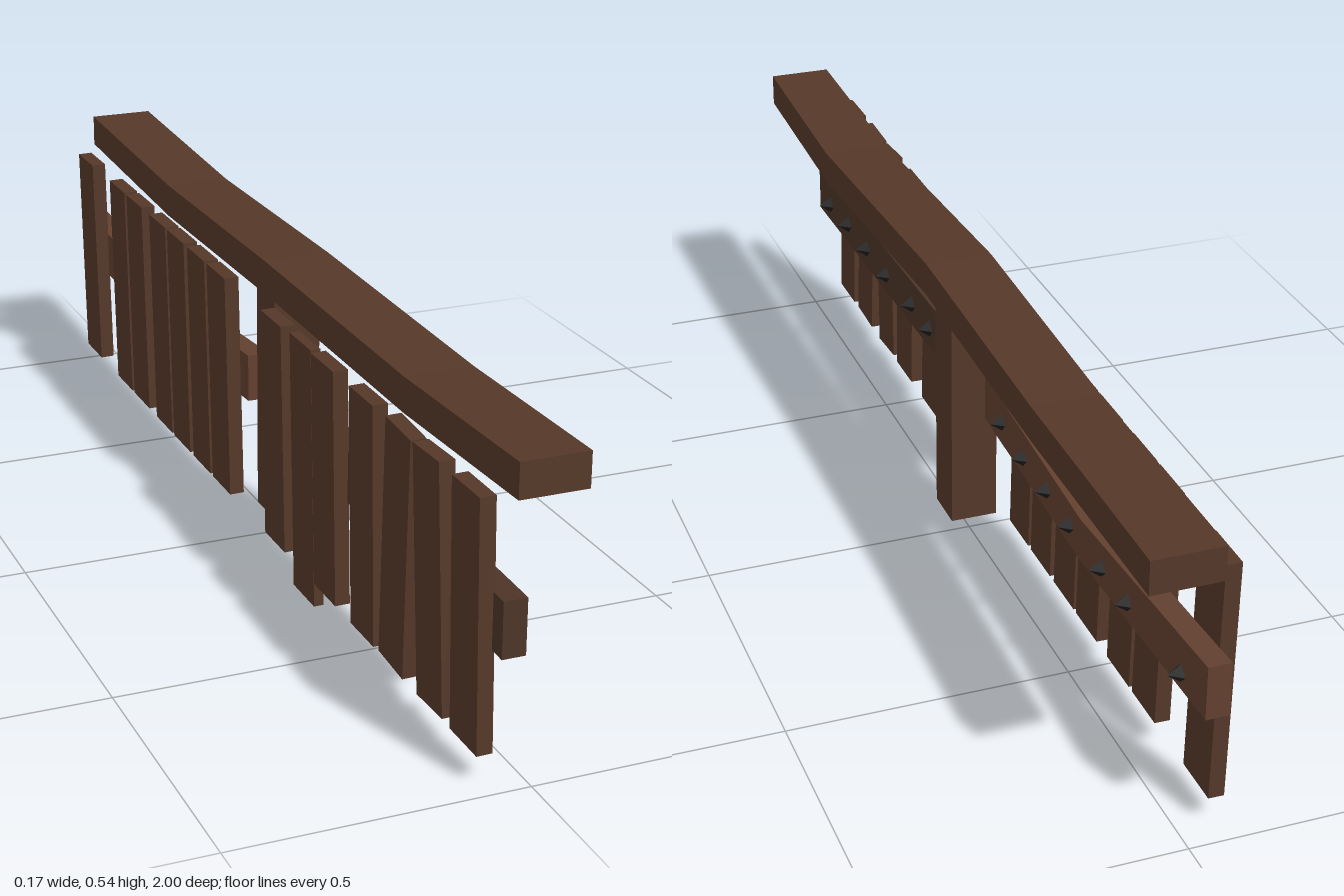
import * as THREE from 'three';

const mat = (color) => new THREE.MeshStandardMaterial({ color, flatShading: true });
const wood = mat(0x553829);
const lightWood = mat(0x63402f);
const darkWood = mat(0x4d3527);
const iron = mat(0x1f1f1f);

function add(group, name, geometry, material, x = 0, y = 0, z = 0) {
  const mesh = new THREE.Mesh(geometry, material);
  mesh.name = name;
  mesh.position.set(x, y, z);
  group.add(mesh);
  return mesh;
}

// Bent beam along z: each section is [z, x0, x1, y0, y1], listed from +z to -z
function beam(sections) {
  const g = new THREE.BoxGeometry(1, 1, 1, 1, 1, sections.length - 1);
  const p = g.attributes.position;
  for (let i = 0; i < p.count; i++) {
    const s = sections[Math.round((0.5 - p.getZ(i)) * (sections.length - 1))];
    p.setXYZ(i, p.getX(i) < 0 ? s[1] : s[2], p.getY(i) < 0 ? s[3] : s[4], s[0]);
  }
  g.computeVertexNormals();
  return g;
}

export function createModel() {
  const fence = new THREE.Group();
  fence.name = 'fence';

  // Wavy top rail
  add(fence, 'topRail', beam([
    [1, -0.04, 0.077, 0.478, 0.538],
    [0.6, -0.04, 0.082, 0.464, 0.525],
    [0.03, -0.052, 0.07, 0.48, 0.541],
    [-0.5, -0.045, 0.075, 0.468, 0.53],
    [-1, -0.037, 0.085, 0.481, 0.541],
  ]), wood);

  // Centre post
  add(fence, 'post', new THREE.BoxGeometry(0.086, 0.437, 0.086), wood, 0.005, 0.264, 0.002);

  // Cross rails on either side of the post
  add(fence, 'frontCrossRail', beam([
    [1, -0.058, -0.018, 0.225, 0.32],
    [0.04, -0.056, -0.016, 0.247, 0.34],
  ]), darkWood);
  add(fence, 'backCrossRail', beam([
    [-0.04, -0.056, -0.016, 0.25, 0.338],
    [-0.5, -0.056, -0.016, 0.222, 0.3],
    [-1, -0.056, -0.016, 0.238, 0.333],
  ]), lightWood);

  // Planks with a nail each: [z, nail y, sideways tilt, bottom y, thickness]
  const planks = [
    [0.92, 0.265], [0.79, 0.275, -0.04], [0.665, 0.275, 0.07], [0.535, 0.275],
    [0.375, 0.285], [0.27, 0.283, 0, 0, 0.018], [0.145, 0.288],
    [-0.128, 0.288], [-0.235, 0.274], [-0.348, 0.272], [-0.453, 0.263],
    [-0.593, 0.262], [-0.7, 0.262], [-0.908, 0.264],
  ];
  planks.forEach(([z, nailY, tilt = 0, bottom = 0.05, thick = 0.027], i) => {
    const top = 0.476;
    const plank = add(fence, `plank${i + 1}`, new THREE.BoxGeometry(thick, top - bottom, 0.094),
      wood, -0.068, (top + bottom) / 2, z);
    plank.rotation.set(tilt, 0, 0.018);

    // Four-sided nail head pointing away from the rail
    const nail = add(fence, `nail${i + 1}`, new THREE.ConeGeometry(0.019, 0.026, 4), iron, -0.006, nailY, z);
    nail.rotation.z = -Math.PI / 2;
  });

  return fence;
}
